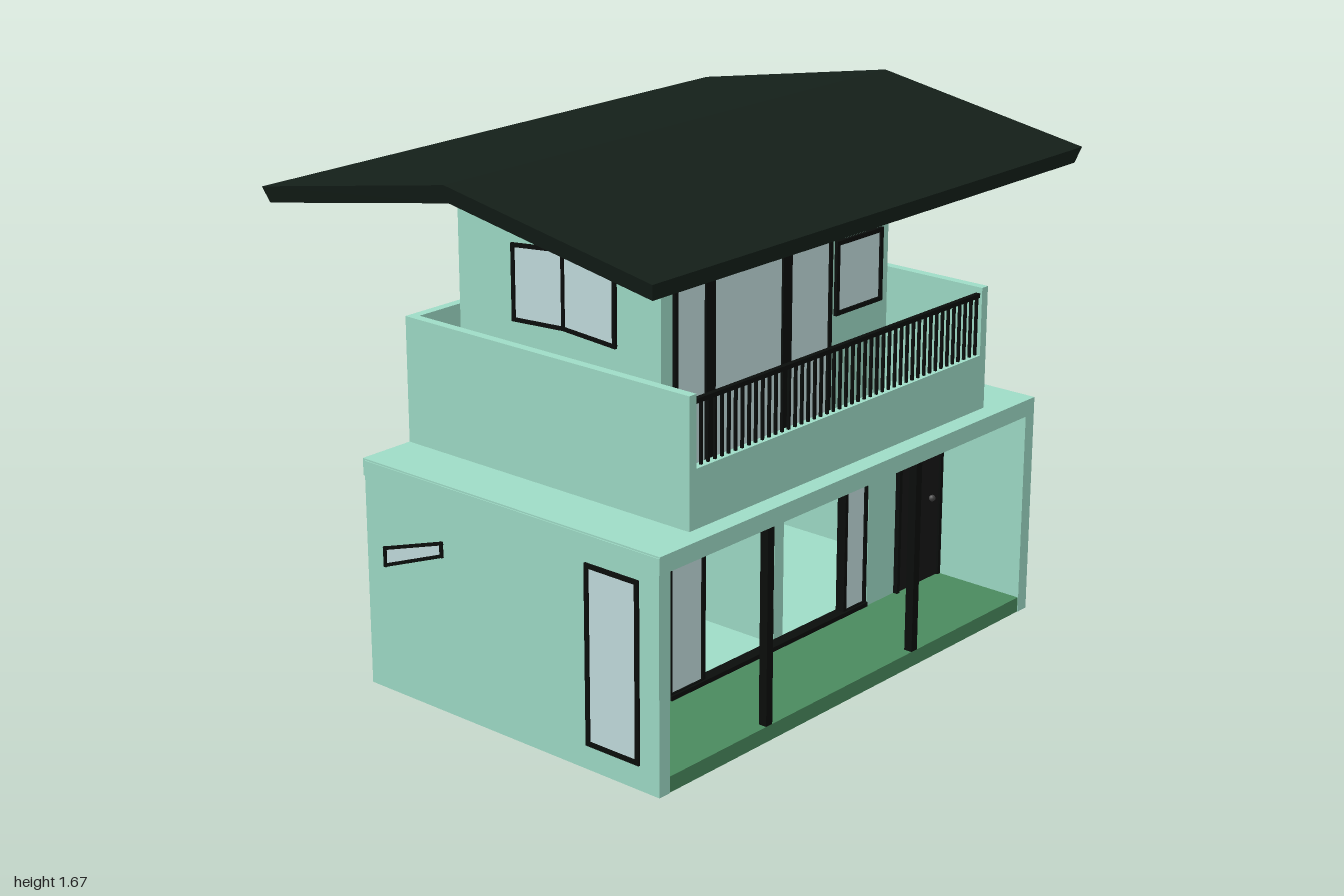
import * as THREE from 'three';

const paint = (color) => new THREE.MeshStandardMaterial({ color });
const MINT = paint(0x9edbc6), BLACK = paint(0x0a0d0b), GLASS = paint(0xc2dcdd);
const GREEN = paint(0x4a8a5e), ROOF = paint(0x141f19), WOOD = paint(0xb07a35), DOOR = paint(0x161616);

export function createModel() {
  const house = new THREE.Group();
  house.name = 'house';

  const add = (name, geometry, material, parent = house) => {
    const mesh = new THREE.Mesh(geometry, material);
    mesh.name = name;
    parent.add(mesh);
    return mesh;
  };

  // Box given by its limits along each axis
  const box = (name, material, [x0, x1], [y0, y1], [z0, z1], parent = house) => {
    const mesh = add(name, new THREE.BoxGeometry(x1 - x0, y1 - y0, z1 - z0), material, parent);
    mesh.position.set((x0 + x1) / 2, (y0 + y1) / 2, (z0 + z1) / 2);
    return mesh;
  };

  // Shape in the z-y plane, extruded along x from x0 to x1
  const extrudeX = (points, x0, x1) => {
    const shape = new THREE.Shape(points.map(([z, y]) => new THREE.Vector2(-z, y)));
    return new THREE.ExtrudeGeometry(shape, { depth: x1 - x0, bevelEnabled: false })
      .translate(0, 0, x0).rotateY(Math.PI / 2);
  };

  // Polygonal window: a pane with a bar on each edge. On side walls the points are [z, y].
  const windowIn = (name, points, at, thick, side = false, bar = 0.014) => {
    const group = new THREE.Group();
    group.name = name;
    const pts = points.map(([u, y]) => new THREE.Vector2(side ? -u : u, y));
    const pane = new THREE.ExtrudeGeometry(new THREE.Shape(pts), { depth: thick, bevelEnabled: false });
    add('pane', pane.translate(0, 0, -thick / 2), GLASS, group);
    pts.forEach((a, i) => {
      const b = pts[(i + 1) % pts.length];
      const edge = add('frameBar', new THREE.BoxGeometry(a.distanceTo(b) + bar, bar, thick + 0.012), BLACK, group);
      edge.position.set((a.x + b.x) / 2, (a.y + b.y) / 2, 0);
      edge.rotation.z = Math.atan2(b.y - a.y, b.x - a.x);
    });
    if (side) {
      group.rotation.y = Math.PI / 2;
      group.position.x = at;
    } else group.position.z = at;
    house.add(group);
    return group;
  };
  const rect = (u0, u1, y0, y1) => [[u0, y0], [u1, y0], [u1, y1], [u0, y1]];

  // Ground floor shell
  for (const s of [-1, 1]) {
    const wall = box('groundSideWall', MINT, [-0.0225, 0.0225], [0, 0.725], [-0.48, 0.7]);
    wall.position.x = s * 0.8775;
  }
  box('groundBackWall', MINT, [-0.855, 0.855], [0, 0.68], [-0.48, -0.435]);
  box('interiorFloor', MINT, [-0.855, 0.855], [0, 0.05], [-0.435, 0.35]);
  box('porchFloor', GREEN, [-0.855, 0.855], [0, 0.05], [0.35, 0.698]);
  box('groundRoofSlab', MINT, [-0.897, 0.897], [0.675, 0.73], [-0.49, 0.702]);

  // Recessed front wall, glazing and entrance
  box('frontWallLeftPart', MINT, [-0.855, -0.48], [0.05, 0.675], [0.335, 0.37]);
  box('frontWallRightPart', MINT, [0.475, 0.855], [0.05, 0.675], [0.335, 0.37]);
  box('entranceHeader', MINT, [0.6, 0.855], [0.62, 0.675], [0.37, 0.42]);
  box('threshold', BLACK, [-0.48, 0.475], [0.05, 0.065], [0.335, 0.375]);
  windowIn('slidingPanel', rect(-0.475, -0.325, 0.062, 0.668), 0.352, 0.02);
  windowIn('slidingPanel', rect(0.365, 0.468, 0.062, 0.668), 0.352, 0.02);
  box('interiorPartition', MINT, [0.045, 0.09], [0.05, 0.675], [-0.435, 0.335]);

  box('frontDoor', DOOR, [0.62, 0.855], [0.05, 0.565], [0.365, 0.378]);
  box('doorJamb', BLACK, [0.618, 0.632], [0.05, 0.57], [0.365, 0.386]);
  box('doorJamb', BLACK, [0.841, 0.855], [0.05, 0.57], [0.365, 0.386]);
  box('doorHead', BLACK, [0.618, 0.855], [0.556, 0.57], [0.365, 0.386]);
  const knob = add('doorKnob', new THREE.SphereGeometry(0.011, 12, 8), paint(0x444444));
  knob.position.set(0.795, 0.335, 0.388);

  for (const x of [-0.415, 0.293]) box('porchPost', BLACK, [x - 0.014, x + 0.014], [0.05, 0.675], [0.67, 0.698]);

  // Ground floor windows
  windowIn('wideBackWindow', rect(-0.485, 0.03, 0.06, 0.508), -0.4575, 0.047);
  windowIn('narrowBackWindow', rect(0.112, 0.408, 0.06, 0.508), -0.4575, 0.047);
  windowIn('rightSideWindow', rect(-0.005, 0.2, 0.294, 0.517), 0.8775, 0.047, true);
  windowIn('porchSideWindow', rect(0.43, 0.62, 0.085, 0.635), -0.8775, 0.047, true);
  windowIn('stairWindow', [[-0.4, 0.41], [-0.155, 0.505], [-0.155, 0.545], [-0.4, 0.465]], -0.8775, 0.047, true, 0.01);

  // Staircase: one flight to the back, a second returning to the front
  for (let i = 0; i < 8; i++) {
    const y = 0.05 + (i + 1) * 0.038, z = -0.12 - i * 0.039;
    box('lowerStep', WOOD, [-0.7, -0.55], [y - 0.03, y], [z - 0.045, z]);
    const y2 = 0.354 + (i + 1) * 0.038, z2 = -0.4 + i * 0.045;
    box('upperStep', WOOD, [-0.855, -0.705], [y2 - 0.03, y2], [z2, z2 + 0.05]);
  }

  // Terrace parapet
  box('terraceDeck', MINT, [-0.68, 0.68], [0.73, 0.75], [-0.46, 0.62]);
  for (const s of [-1, 1]) {
    const wall = box('parapetSide', MINT, [-0.015, 0.015], [0.73, 1.13], [-0.49, 0.64]);
    wall.position.x = s * 0.69;
  }
  box('parapetBack', MINT, [-0.675, 0.675], [0.73, 1.13], [-0.49, -0.46]);
  box('parapetFront', MINT, [-0.675, 0.675], [0.73, 0.91], [0.61, 0.64]);

  // Balcony railing
  const railing = new THREE.Group();
  railing.name = 'railing';
  house.add(railing);
  box('handrail', BLACK, [-0.675, 0.675], [1.097, 1.111], [0.617, 0.633], railing);
  const bars = 46;
  for (let i = 0; i < bars; i++) {
    const x = -0.668 + (1.336 * i) / (bars - 1);
    box('baluster', BLACK, [x - 0.004, x + 0.004], [0.91, 1.1], [0.621, 0.629], railing);
  }

  // Upper storey with gabled sides
  add('upperStorey', extrudeX([[0.38, 0.74], [0.38, 1.556], [0, 1.622], [-0.435, 1.547], [-0.435, 0.74]], -0.53, 0.53), MINT);
  windowIn('balconyDoors', rect(-0.474, 0.235, 0.76, 1.343), 0.381, 0.008);
  for (const x of [-0.325, 0.025]) box('balconyDoorMullion', BLACK, [x - 0.021, x + 0.021], [0.75, 1.35], [0.375, 0.392]);
  windowIn('balconyWindow', rect(0.27, 0.486, 1.09, 1.312), 0.381, 0.008);

  // Gable windows follow the roof pitch and have a centre bar
  for (const [x, z0, z1, rise] of [[0.53, -0.19, 0.175, 0], [-0.53, -0.2, 0.205, 0.035]]) {
    const mid = (z0 + z1) / 2;
    windowIn('gableWindow', [[z0, 1.14], [mid, 1.152], [z1, 1.14], [z1, 1.335 + rise], [mid, 1.355 + rise], [z0, 1.335 + rise]],
      x, 0.008, true, 0.012);
    box('gableWindowMullion', BLACK, [x - 0.01, x + 0.01], [1.15, 1.355 + rise], [mid - 0.005, mid + 0.005]);
  }

  // Pitched roof, its underside drawn in at the ends
  const roof = extrudeX([[0.77, 1.54], [0, 1.675], [-0.77, 1.54], [-0.755, 1.49], [0, 1.62], [0.755, 1.49]], -1, 1);
  const p = roof.attributes.position;
  for (let i = 0; i < p.count; i++) {
    if (Math.abs(p.getZ(i)) < 0.76 && p.getY(i) < 1.63) p.setX(i, p.getX(i) * 0.983);
  }
  roof.computeVertexNormals();
  add('roof', roof, ROOF);

  return house;
}
